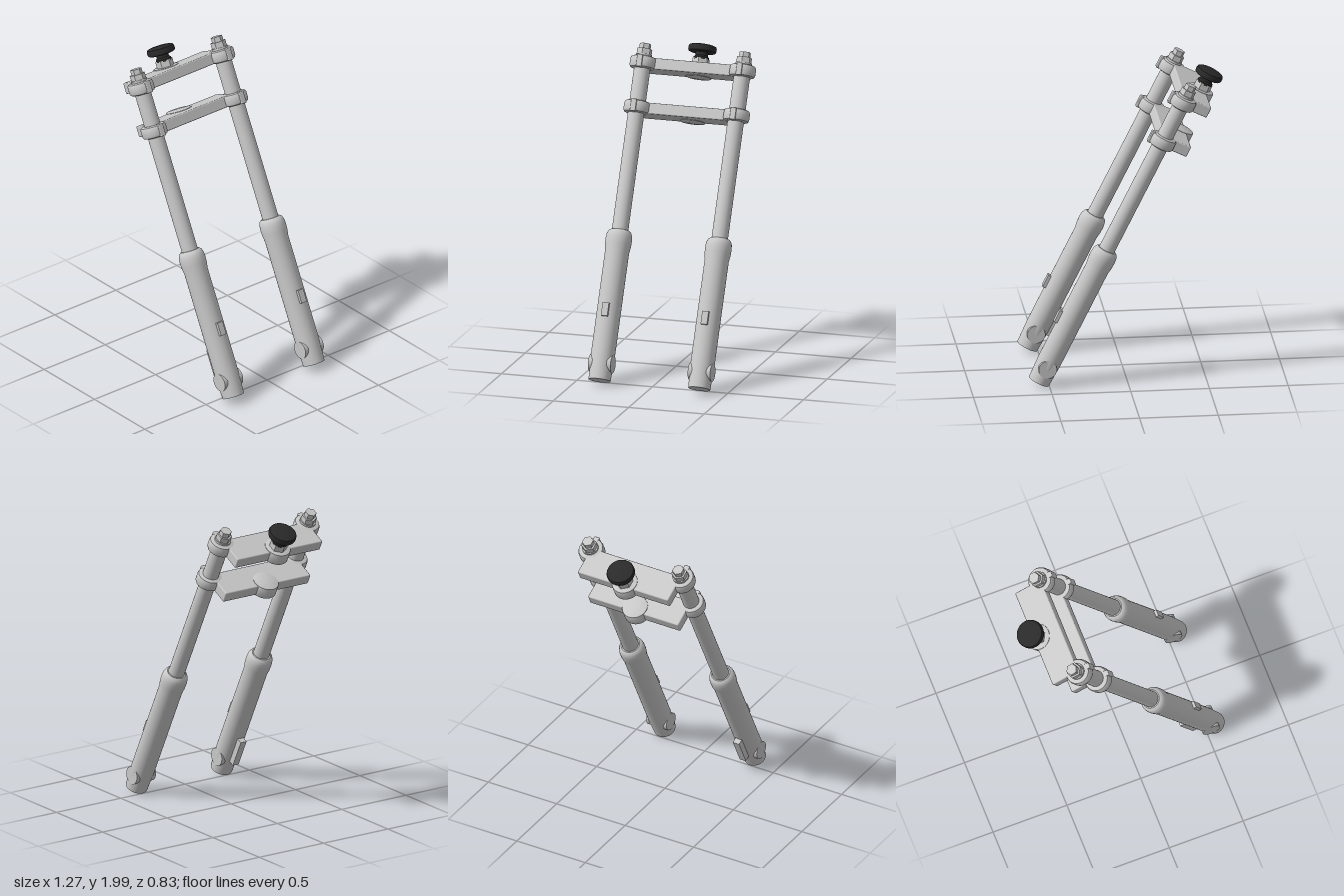
import * as THREE from 'three';
import { toCreasedNormals } from 'three/addons/utils/BufferGeometryUtils.js';
import { RoundedBoxGeometry } from 'three/addons/geometries/RoundedBoxGeometry.js';

const metal = new THREE.MeshStandardMaterial({ color: 0xc8c8c8 });
metal.name = 'silver metal';
const rubber = new THREE.MeshStandardMaterial({ color: 0x2a2a2a });
rubber.name = 'black rubber';

const STEM_X = -0.155; // steering axis behind the legs
const LEG_Z = 0.33;

function add(parent, name, geometry, material, x = 0, y = 0, z = 0) {
  const mesh = new THREE.Mesh(geometry, material);
  mesh.name = name;
  mesh.position.set(x, y, z);
  parent.add(mesh);
  return mesh;
}

// Turned part from [radius, height] pairs, bottom to top
function turned(profile, sides = 40) {
  const g = new THREE.LatheGeometry(profile.map(([r, y]) => new THREE.Vector2(r, y)), sides);
  return toCreasedNormals(g, 0.6);
}

function hex(radius, height) {
  const g = new THREE.CylinderGeometry(radius, radius, height, 6);
  g.rotateY(Math.PI / 6);
  return toCreasedNormals(g, 0.5);
}

// Solid disc with softly rounded rims
function roundedDisc(r, h, b) {
  const k = b * 0.3;
  return turned([[0, -h / 2], [r - b, -h / 2], [r - k, -h / 2 + k], [r, -h / 2 + b],
    [r, h / 2 - b], [r - k, h / 2 - k], [r - b, h / 2], [0, h / 2]]);
}

function buildLeg(z) {
  const leg = new THREE.Group();
  leg.name = z > 0 ? 'frontLeg' : 'backLeg';
  leg.position.z = z;

  add(leg, 'innerTube', new THREE.CylinderGeometry(0.052, 0.052, 1.2, 40), metal, 0, 1.505);
  add(leg, 'lowerSleeve', turned([[0, 0], [0.07, 0], [0.0765, 0.15], [0.0765, 0.83],
    [0.083, 0.875], [0.084, 0.915], [0.081, 0.94], [0.073, 0.96], [0.06, 0.97], [0.05, 0.97]]), metal);

  // Axle boss with flat faces on both sides
  const boss = add(leg, 'axleBoss', new THREE.CylinderGeometry(0.058, 0.058, 0.148, 32), metal, 0, 0.11);
  boss.rotation.x = Math.PI / 2;

  add(leg, 'sleeveLug', new THREE.BoxGeometry(0.05, 0.085, 0.042), metal, 0.069, 0.443);

  // Clamp rings with pinch lugs
  for (const y of [1.765, 2.053]) {
    add(leg, 'clampRing', roundedDisc(0.083, 0.078, 0.018), metal, 0, y);
    add(leg, 'pinchLug', new RoundedBoxGeometry(0.06, 0.08, 0.038, 2, 0.006), metal, 0.062, y);
  }

  // Top cap
  add(leg, 'capNut', hex(0.049, 0.04), metal, 0, 2.122);
  add(leg, 'adjusterNut', hex(0.037, 0.04), metal, 0, 2.155);
  return leg;
}

function buildCrown(name, y) {
  const crown = new THREE.Group();
  crown.name = name;
  crown.position.y = y;
  add(crown, 'crownPlate', new RoundedBoxGeometry(0.193, 0.072, 2 * LEG_Z, 2, 0.008), metal, -0.09, 0, 0);
  add(crown, 'stemBoss', roundedDisc(0.084, 0.08, 0.006), metal, STEM_X, 0, 0);
  return crown;
}

export function createModel() {
  const model = new THREE.Group();
  model.name = 'fork';

  // Everything is built upright, then raked back
  const fork = new THREE.Group();
  fork.name = 'rakedFork';
  fork.position.set(0.565, 0.034, 0);
  fork.rotation.z = THREE.MathUtils.degToRad(26.45);
  model.add(fork);

  const legs = [LEG_Z, -LEG_Z].map(buildLeg);
  fork.add(...legs);
  add(legs[0], 'brakeMount', new THREE.BoxGeometry(0.06, 0.195, 0.045), metal, -0.082, 0.217);

  fork.add(buildCrown('lowerCrown', 1.765), buildCrown('upperCrown', 2.053));

  // Steering nut and damper knob
  add(fork, 'steeringNut', hex(0.056, 0.05), metal, STEM_X, 2.112);
  add(fork, 'knobStem', turned([[0, 2.13], [0.05, 2.13], [0.05, 2.145], [0.04, 2.155], [0.04, 2.19], [0, 2.19]]),
    rubber, STEM_X);
  add(fork, 'damperKnob', roundedDisc(0.09, 0.046, 0.014), rubber, STEM_X, 2.2);
  return model;
}
